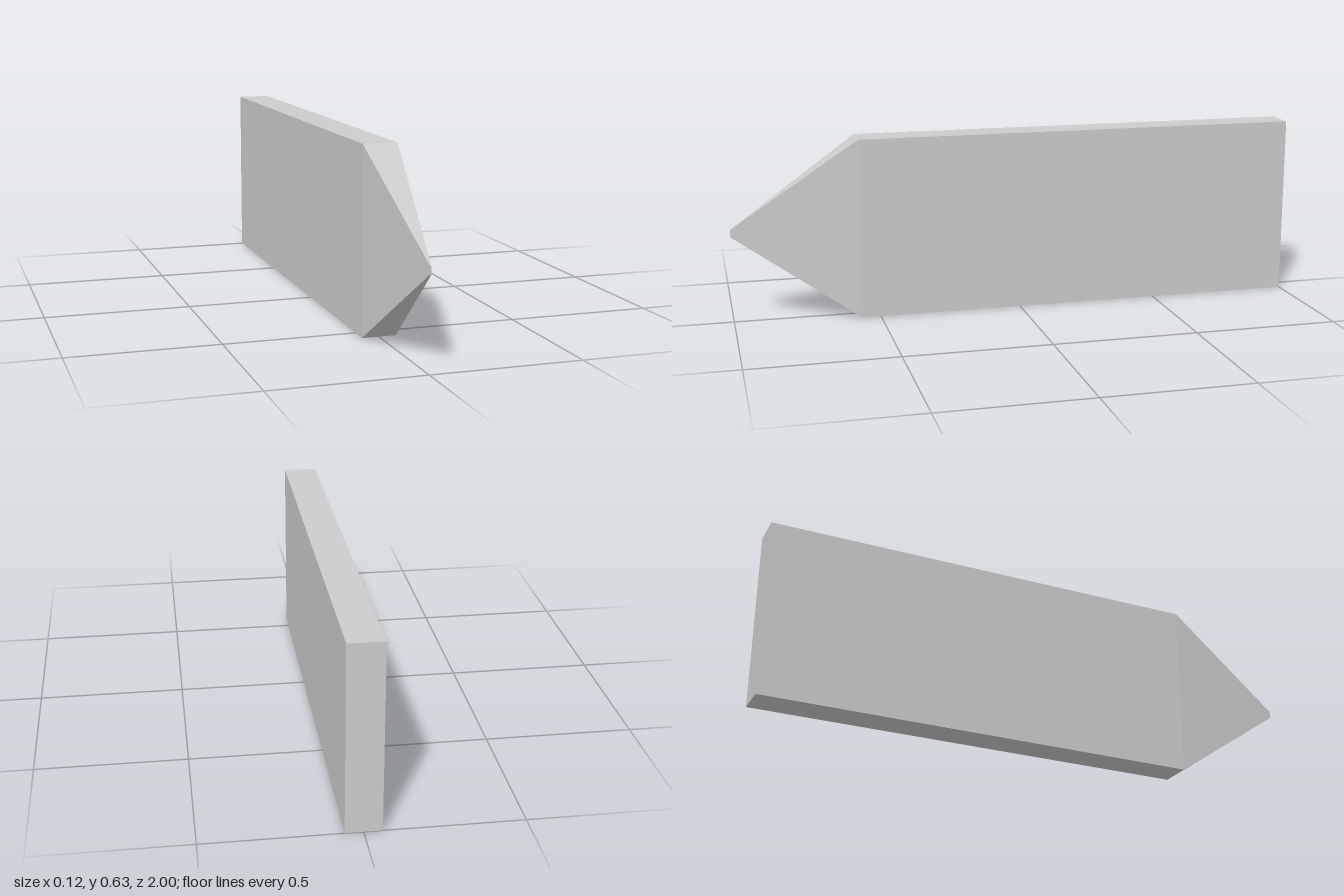
import * as THREE from 'three';

const WIDTH = 0.116, HEIGHT = 0.627, LENGTH = 2;
const SHOULDER_Z = 0.565; // where the taper begins
const TIP_SCALE = 0.04;   // size of the blunt tip relative to the body

export function createModel() {
  const group = new THREE.Group();
  group.name = 'pointedPlank';

  // Bar with two lengthwise segments; the front end shrinks to a small tip
  const geometry = new THREE.BoxGeometry(WIDTH, HEIGHT, LENGTH, 1, 1, 2);
  const pos = geometry.attributes.position;
  for (let i = 0; i < pos.count; i++) {
    const z = pos.getZ(i);
    if (Math.abs(z) < 0.01) pos.setZ(i, SHOULDER_Z);
    else if (z > 0) pos.setXY(i, pos.getX(i) * TIP_SCALE, pos.getY(i) * TIP_SCALE);
  }
  geometry.translate(0, HEIGHT / 2, 0);

  // Unshared corners give every face its own flat normal
  const flat = geometry.toNonIndexed();
  flat.computeVertexNormals();

  const material = new THREE.MeshStandardMaterial({ color: 0xcccccc, flatShading: true });
  const plank = new THREE.Mesh(flat, material);
  plank.name = 'plank';
  group.add(plank);
  return group;
}
